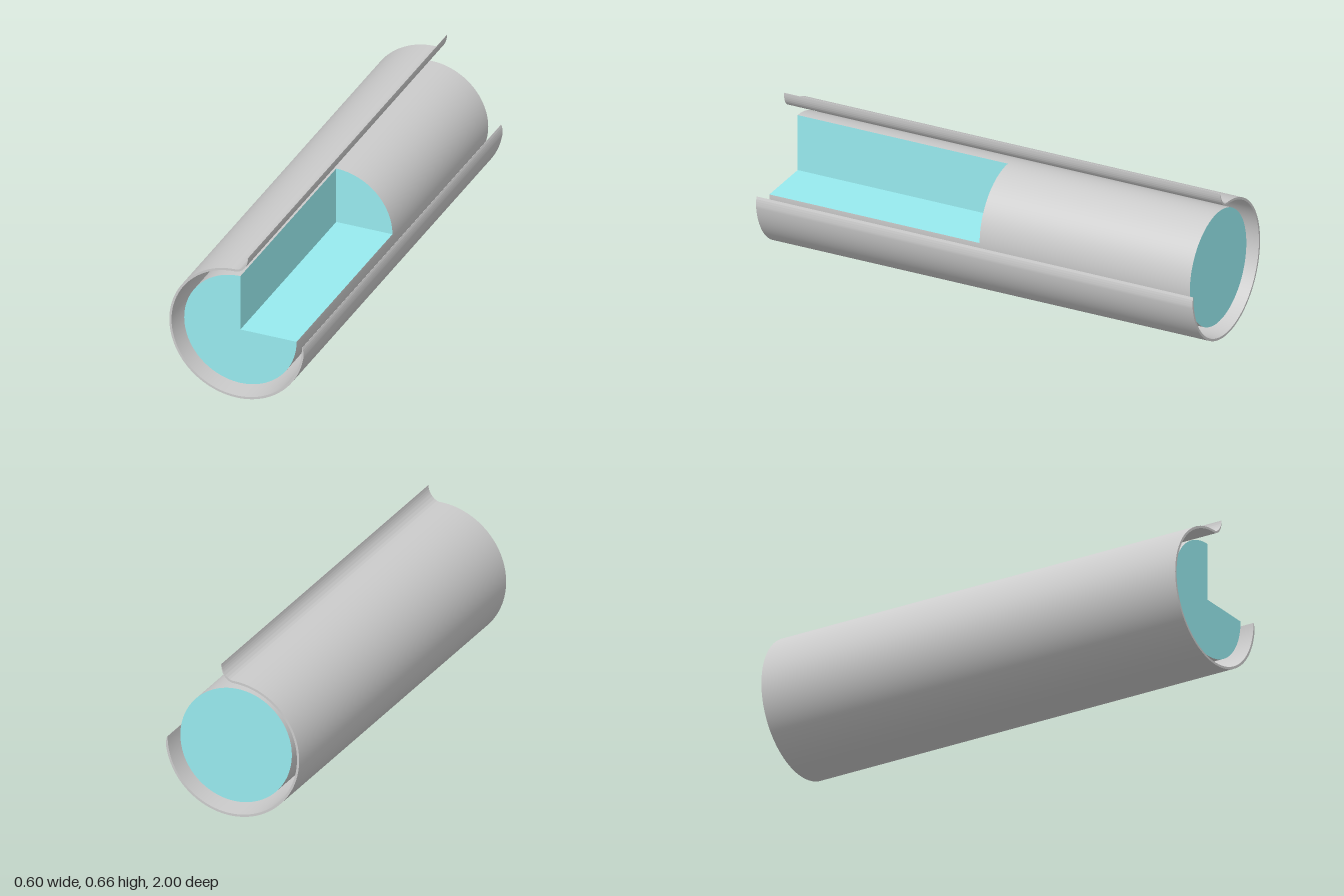
import * as THREE from 'three';
import { toCreasedNormals } from 'three/addons/utils/BufferGeometryUtils.js';

const PI = Math.PI;
const R = 0.25;       // core radius
const HALF = 0.963;   // core half length
const grey = new THREE.MeshStandardMaterial({ color: 0xcccccc });
const greyOpen = new THREE.MeshStandardMaterial({ color: 0xcccccc, side: THREE.DoubleSide });
const teal = new THREE.MeshStandardMaterial({ color: 0x97eaee });

function add(group, name, geometry, material, x = 0, y = 0, z = 0) {
  const mesh = new THREE.Mesh(geometry, material);
  mesh.name = name;
  mesh.position.set(x, y, z);
  group.add(mesh);
  return mesh;
}

// Three-quarter wrap with a flared lip on top and a tapered free edge at the side
function shellGeometry() {
  const s = new THREE.Shape();
  s.moveTo(0.049, 0.365);
  s.bezierCurveTo(0.047, 0.33, 0.022, 0.304, 0, 0.3);
  s.absarc(0, 0, 0.3, PI / 2, 2 * PI - 0.12, false);
  s.quadraticCurveTo(0.297, -0.012, 0.291, 0);
  s.absarc(0, 0, 0.29, 2 * PI, PI / 2, true);
  s.bezierCurveTo(0.03, 0.298, 0.05, 0.325, 0.05, 0.365);
  const g = new THREE.ExtrudeGeometry(s, { depth: 2, bevelEnabled: false, curveSegments: 48 });
  g.translate(0, 0, -1);
  return toCreasedNormals(g, 0.6);
}

// Curved skin of the core, lying along z
function skin(start, length, segments) {
  return new THREE.CylinderGeometry(R, R, HALF, segments, 1, true, start, length).rotateX(PI / 2);
}

export function createModel() {
  const model = new THREE.Group();
  model.name = 'cutawayRoller';

  add(model, 'outerShell', shellGeometry(), grey);

  // Core: full at the back, with the upper left quarter cut away at the front
  const core = new THREE.Group();
  core.name = 'core';
  model.add(core);
  add(core, 'coreSkinBack', skin(0, 2 * PI, 96), greyOpen, 0, 0, -HALF / 2);
  add(core, 'coreSkinFront', skin(PI, 1.5 * PI, 72), greyOpen, 0, 0, HALF / 2);
  add(core, 'coreEndBack', new THREE.CircleGeometry(R, 96).rotateY(PI), teal, 0, 0, -HALF);
  add(core, 'coreEndFront', new THREE.CircleGeometry(R, 72, PI / 2, 1.5 * PI), teal, 0, 0, HALF);

  // Flat faces of the cut
  add(core, 'cutEnd', new THREE.CircleGeometry(R, 24, 0, PI / 2), teal);
  add(core, 'cutFloor', new THREE.PlaneGeometry(R, HALF).rotateX(-PI / 2), teal, R / 2, 0, HALF / 2);
  add(core, 'cutWall', new THREE.PlaneGeometry(HALF, R).rotateY(PI / 2), teal, 0, R / 2, HALF / 2);

  model.children.forEach((part) => { part.position.y = 0.3; });
  return model;
}
